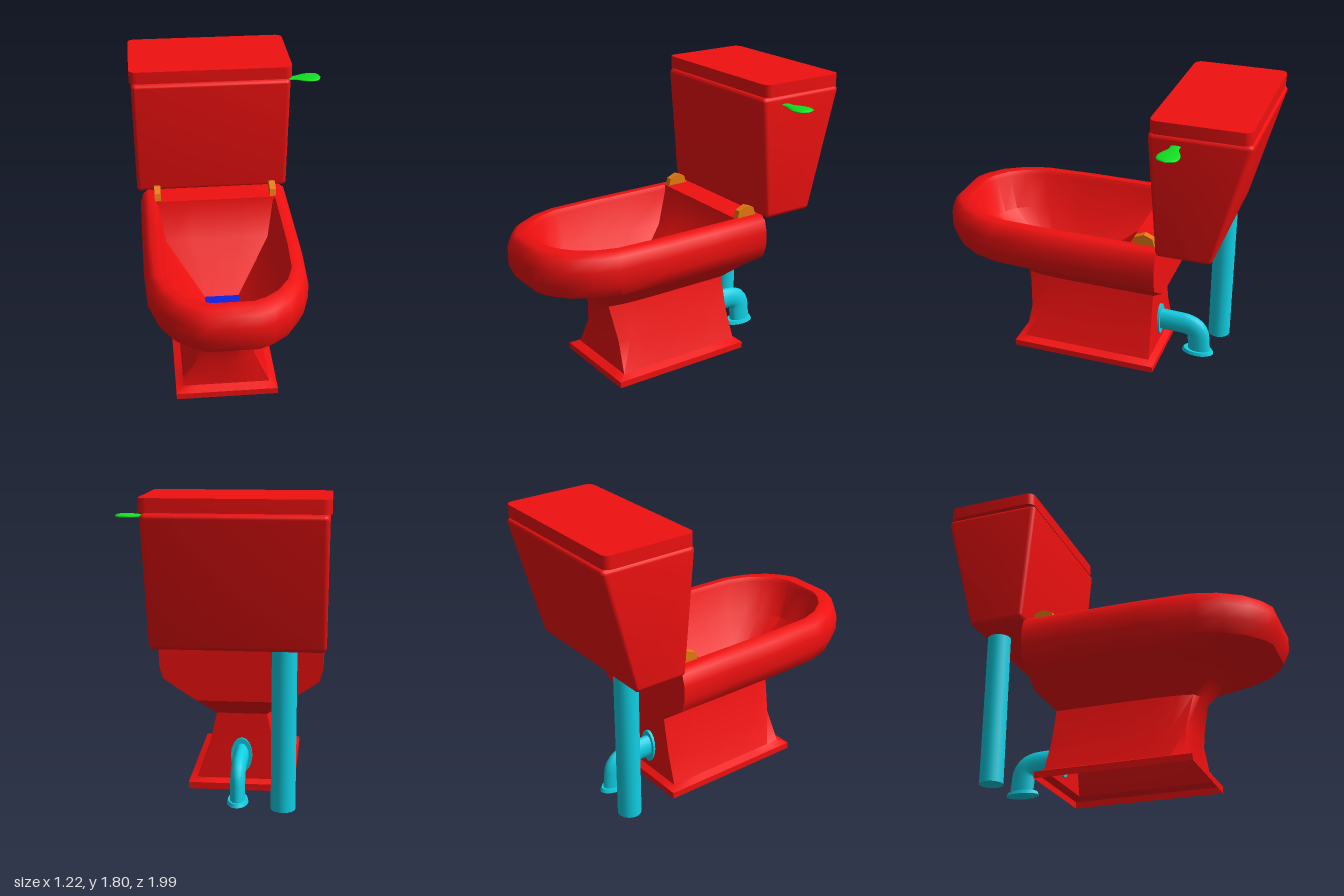
import * as THREE from 'three';
import { toCreasedNormals } from 'three/addons/utils/BufferGeometryUtils.js';
import { RoundedBoxGeometry } from 'three/addons/geometries/RoundedBoxGeometry.js';

const CX = -0.092; // centre line of the bowl and foot
const mat = (color) => new THREE.MeshStandardMaterial({ color, side: THREE.DoubleSide });
const red = mat(0xf01010), cyan = mat(0x10d0e4), green = mat(0x10e020);
const orange = mat(0xe87a10), blue = mat(0x1020e0);

function add(parent, name, geometry, material, x = 0, y = 0, z = 0) {
  const mesh = new THREE.Mesh(geometry, material);
  mesh.name = name;
  mesh.position.set(x, y, z);
  parent.add(mesh);
  return mesh;
}

// Half outlines as [across, along], from back centre to front centre
const ROUND = [[0, 0], [0.5, 0], [1, 0], [1, 0.25], [1, 0.5], [0.97, 0.726], [0.87, 0.83],
  [0.69, 0.92], [0.48, 0.975], [0.31, 1], [0, 1]];
const SQUARE = [[0, 0], [0.5, 0], [1, 0], [1, 0.25], [1, 0.5], [1, 0.75], [1, 0.9],
  [1, 1], [0.67, 1], [0.33, 1], [0, 1]];

// Closed loop of [x, z]; q blends from a round front (0) to a rectangle (1)
function outline(half, back, front, q) {
  const side = ROUND.map(([u, v], i) => {
    const a = THREE.MathUtils.lerp(u, SQUARE[i][0], q);
    const b = THREE.MathUtils.lerp(v, SQUARE[i][1], q);
    return [a * half, back + (front - back) * b];
  });
  const mirrored = side.slice(1, -1).reverse().map(([x, z]) => [-x, z]);
  return [...side, ...mirrored].map(([x, z]) => [x + CX, z]);
}

// Skin through sections [y, halfWidth, back, front, q]
function loft(sections, crease) {
  const pos = [], index = [];
  let n = 0;
  sections.forEach(([y, half, back, front, q]) => {
    const loop = outline(half, back, front, q);
    n = loop.length;
    loop.forEach(([x, z]) => pos.push(x, y, z));
  });
  for (let i = 0; i < sections.length - 1; i++) {
    for (let j = 0; j < n; j++) {
      const a = i * n + j, b = i * n + (j + 1) % n;
      index.push(a, a + n, b, b, a + n, b + n);
    }
  }
  const g = new THREE.BufferGeometry();
  g.setAttribute('position', new THREE.Float32BufferAttribute(pos, 3));
  g.setIndex(index);
  return toCreasedNormals(g, crease);
}

export function createModel() {
  const model = new THREE.Group();
  model.name = 'toilet';

  // Foot, pedestal, outer bowl, rim and inner basin as one skin, open underneath
  add(model, 'bowl', loft([
    [0.005, 0.317, -0.42, 0.52, 1],
    [0.045, 0.317, -0.42, 0.52, 1],
    [0.065, 0.27, -0.38, 0.465, 1],
    [0.25, 0.2, -0.37, 0.465, 0.75],
    [0.47, 0.15, -0.365, 0.52, 0.4],
    [0.57, 0.26, -0.46, 0.61, 0.1],
    [0.64, 0.37, -0.46, 0.8, 0],
    [0.7, 0.458, -0.46, 0.965, 0],
    [0.78, 0.482, -0.46, 1, 0],
    [0.87, 0.482, -0.46, 1, 0],
    [0.94, 0.462, -0.46, 0.975, 0],
    [0.966, 0.43, -0.46, 0.945, 0],
    [0.966, 0.385, -0.285, 0.875, 0],
    [0.94, 0.37, -0.28, 0.86, 0],
    [0.72, 0.33, -0.2, 0.8, 0],
    [0.5, 0.105, 0.14, 0.46, 0.15],
  ], 0.75), red);

  // Water at the bottom of the basin
  const pool = new THREE.Shape(outline(0.107, 0.138, 0.462, 0.15).map(([x, z]) => new THREE.Vector2(x, -z)));
  add(model, 'water', new THREE.ShapeGeometry(pool), blue, 0, 0.503, 0).rotation.x = -Math.PI / 2;

  // Tank, a rounded box that gets deeper towards the top
  const tank = new RoundedBoxGeometry(0.995, 0.772, 0.5, 4, 0.028);
  const p = tank.attributes.position;
  for (let i = 0; i < p.count; i++) {
    const t = p.getY(i) / 0.772 + 0.5, s = p.getZ(i) / 0.5 + 0.5;
    const front = THREE.MathUtils.lerp(-0.462, -0.398, t);
    const back = THREE.MathUtils.lerp(-0.795, -1, t);
    p.setZ(i, THREE.MathUtils.lerp(back, front, s));
    p.setX(i, p.getX(i) * (0.985 + 0.015 * t));
  }
  add(model, 'tank', toCreasedNormals(tank, 0.6), red, -0.102, 1.338, 0);

  // Lid with rounded corners
  const w = 0.508, d = 0.286, r = 0.045;
  const lid = new THREE.Shape();
  lid.absarc(w - r, d - r, r, 0, Math.PI / 2);
  lid.absarc(r - w, d - r, r, Math.PI / 2, Math.PI);
  lid.absarc(r - w, r - d, r, Math.PI, Math.PI * 1.5);
  lid.absarc(w - r, r - d, r, Math.PI * 1.5, Math.PI * 2);
  const lidGeo = new THREE.ExtrudeGeometry(lid, { depth: 0.077, bevelEnabled: false, curveSegments: 5 });
  add(model, 'tankLid', toCreasedNormals(lidGeo, 0.6), red, -0.102, 1.728, -0.697).rotation.x = -Math.PI / 2;

  // Flush handle, a flattened spoon pointing sideways
  const spoon = new THREE.SplineCurve([[0.03, 0], [0.03, 0.05], [0.052, 0.1], [0.065, 0.15], [0.052, 0.2], [0, 0.222]]
    .map(([x, y]) => new THREE.Vector2(x, y))).getPoints(20);
  spoon.forEach((v) => { v.x = Math.max(0, v.x); });
  const handle = add(model, 'flushHandle', new THREE.LatheGeometry(spoon, 24), green, 0.388, 1.668, -0.567);
  handle.rotation.z = -Math.PI / 2;
  handle.scale.x = 0.2;

  // Seat hinges
  const hinge = new THREE.Shape([[0.295, 0.955], [0.31, 1.01], [0.37, 1.035], [0.42, 1.015], [0.44, 0.955]]
    .map(([x, y]) => new THREE.Vector2(x, y)));
  for (const [name, x] of [['rightHinge', -0.483], ['leftHinge', 0.262]]) {
    const geo = new THREE.ExtrudeGeometry(hinge, { depth: 0.04, bevelEnabled: false });
    add(model, name, geo, orange, x, 0, 0).rotation.y = Math.PI / 2;
  }

  // Supply pipe up to the tank
  add(model, 'supplyPipe', new THREE.CylinderGeometry(0.071, 0.071, 0.945, 20), cyan, -0.36, 0.488, -0.712);

  // Flattened waste elbow with a flange at each end
  const waste = new THREE.Group();
  waste.name = 'wastePipe';
  waste.position.x = CX;
  waste.scale.x = 0.6;
  const path = new THREE.CurvePath();
  const v = (y, z) => new THREE.Vector3(0, y, z);
  path.add(new THREE.LineCurve3(v(0.215, -0.36), v(0.21, -0.54)));
  path.add(new THREE.QuadraticBezierCurve3(v(0.21, -0.54), v(0.2, -0.63), v(0.13, -0.635)));
  path.add(new THREE.LineCurve3(v(0.13, -0.635), v(0.02, -0.645)));
  add(waste, 'elbow', new THREE.TubeGeometry(path, 20, 0.073, 16), cyan);
  add(waste, 'wallFlange', new THREE.CylinderGeometry(0.108, 0.108, 0.02, 16), cyan, 0, 0.212, -0.375)
    .rotation.x = Math.PI / 2;
  add(waste, 'floorFlange', new THREE.CylinderGeometry(0.095, 0.105, 0.022, 16), cyan, 0, 0.026, -0.635);
  model.add(waste);

  return model;
}
